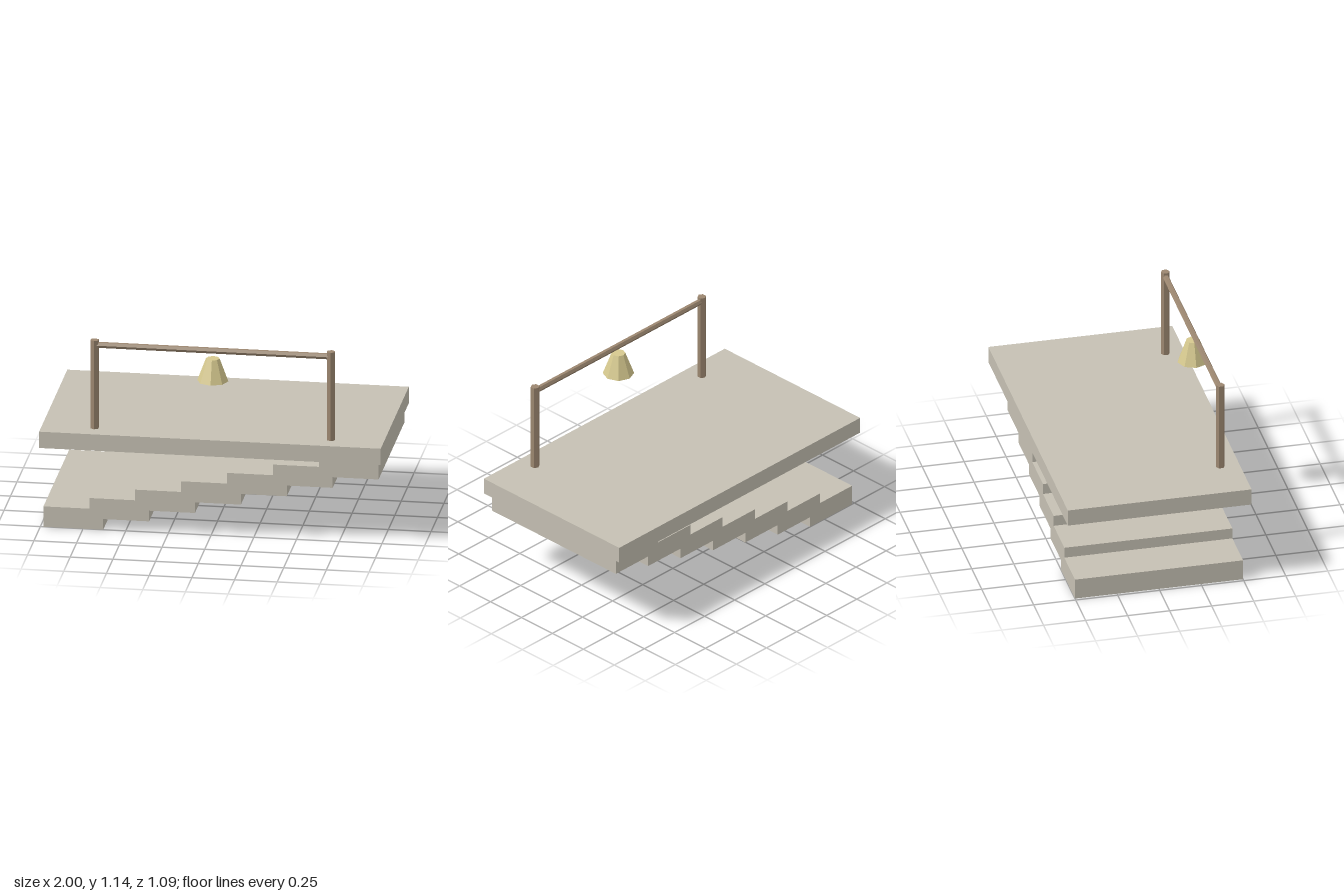
import * as THREE from 'three';

export function createModel() {
  const group = new THREE.Group();
  const material = (name, color) => {
    const m = new THREE.MeshStandardMaterial({ color });
    m.name = name;
    return m;
  };
  const stone = material('stone', 0xc5c0b3);
  const wood = material('wood', 0x9c8770);
  const brass = material('brass', 0xd6c98f);
  wood.flatShading = true;
  brass.flatShading = true;

  const add = (name, geometry, mat, x, y, z) => {
    const mesh = new THREE.Mesh(geometry, mat);
    mesh.name = name;
    mesh.position.set(x, y, z);
    group.add(mesh);
    return mesh;
  };

  // Platform slab
  add('platform', new THREE.BoxGeometry(2, 0.1, 1.094), stone, 0, 0.549, 0);

  // Staircase: one stepped outline of seven overlapping treads, extruded in z
  const steps = 7, run = 0.2687, rise = 0.0655, tread = 0.35, thick = 0.125, x0 = -0.982;
  const outline = [];
  for (let i = 0; i < steps; i++) {
    const right = x0 + i * run + tread;
    if (i > 0) outline.push(new THREE.Vector2(right - run, i * rise));
    else outline.push(new THREE.Vector2(x0, 0));
    outline.push(new THREE.Vector2(right, i * rise));
  }
  for (let i = steps - 1; i >= 0; i--) {
    const left = x0 + i * run, top = i * rise + thick;
    outline.push(new THREE.Vector2(i < steps - 1 ? left + run : left + tread, top));
    outline.push(new THREE.Vector2(left, top));
  }
  const stairs = new THREE.ExtrudeGeometry(new THREE.Shape(outline), { depth: 1, bevelEnabled: false });
  add('staircase', stairs, stone, 0, 0, -0.5);

  // Bell frame: two hexagonal posts and a hexagonal crossbeam
  const frameZ = 0.433;
  for (const side of [-1, 1]) {
    add(side < 0 ? 'rightPost' : 'leftPost',
      new THREE.CylinderGeometry(0.026, 0.026, 0.542, 6), wood, side * 0.692, 0.869, frameZ);
  }
  const beam = add('crossbeam', new THREE.CylinderGeometry(0.018, 0.018, 1.384, 6), wood, 0, 1.11, frameZ);
  beam.rotation.z = Math.PI / 2;

  // Eight-sided bell hanging below the beam
  add('bell', new THREE.CylinderGeometry(0.04, 0.091, 0.137, 8), brass, 0, 0.994, frameZ);

  return group;
}
